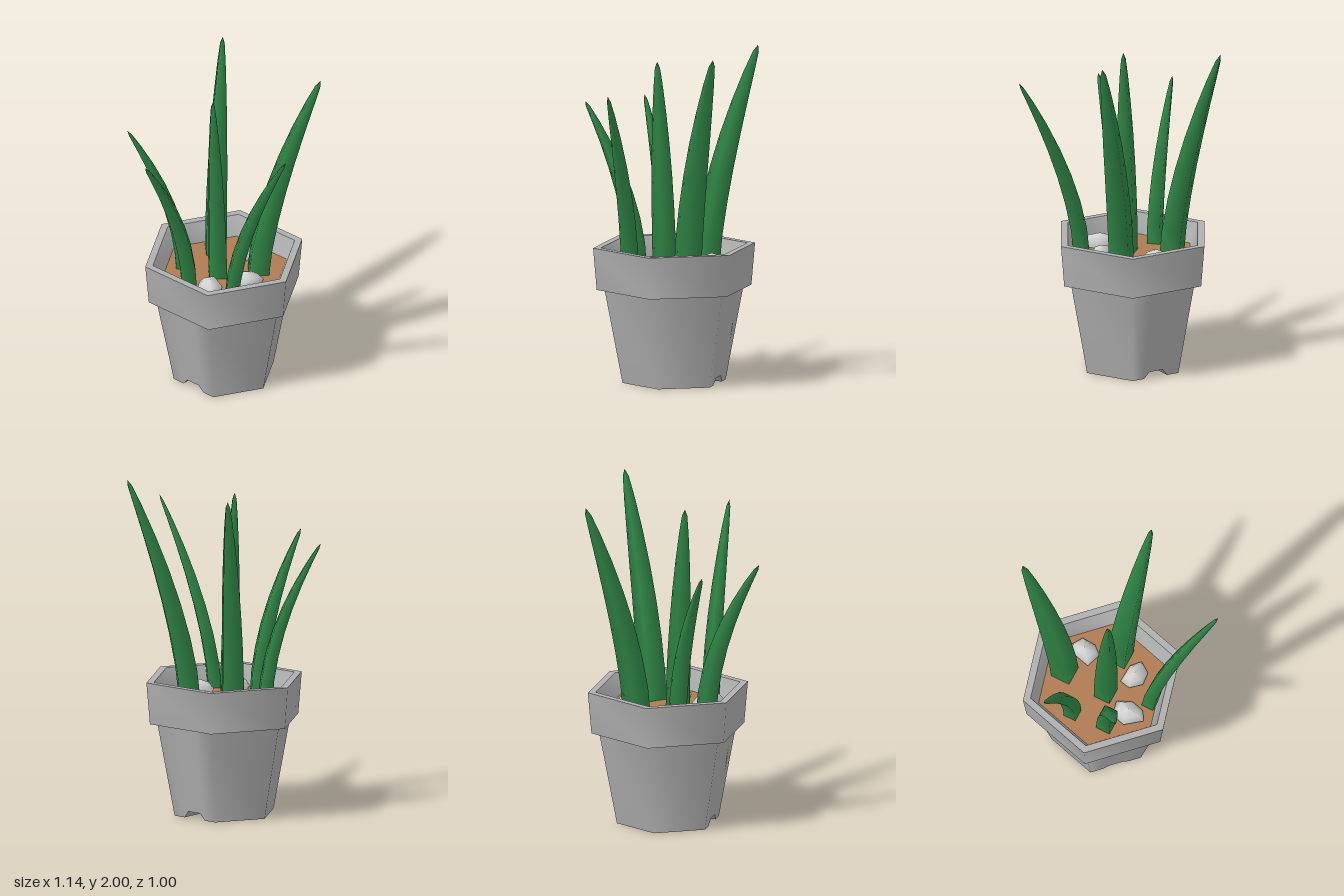
import * as THREE from 'three';
import { toCreasedNormals } from 'three/addons/utils/BufferGeometryUtils.js';

const material = (name, color) => new THREE.MeshStandardMaterial({ name, color });

// Skin between rows of [x, y, z] points; rows run bottom to top, counterclockwise seen from above
function loft(rows, closed = true) {
  const n = rows[0].length;
  const index = [];
  for (let r = 0; r < rows.length - 1; r++) {
    for (let i = 0; i < (closed ? n : n - 1); i++) {
      const a = r * n + i, b = r * n + (i + 1) % n;
      index.push(a, b, a + n, b, b + n, a + n);
    }
  }
  const g = new THREE.BufferGeometry();
  g.setAttribute('position', new THREE.Float32BufferAttribute(rows.flat(2), 3));
  g.setIndex(index);
  g.computeVertexNormals();
  return g;
}

// Upright leaf with a diamond section that curves outward from base to tip
function leafGeometry({ base, tip, size, bend }) {
  const y0 = 0.66;
  const sections = [[0, 1], [0.15, 1], [0.3, 0.96], [0.45, 0.88], [0.6, 0.76],
    [0.75, 0.59], [0.88, 0.4], [0.97, 0.22], [1, 0]];
  return loft(sections.map(([t, w]) => {
    const k = Math.pow(t, bend);
    const x = base[0] + (tip[0] - base[0]) * k;
    const z = base[1] + (tip[2] - base[1]) * k;
    const y = y0 + (tip[1] - y0) * t;
    const s = size * w;
    return [[x, y, z + s], [x + s, y, z], [x, y, z - s], [x - s, y, z]];
  }));
}

// Pebble: an outline that swells, then closes to a low top
function stoneGeometry(outline) {
  const cx = outline.reduce((s, p) => s + p[0], 0) / outline.length;
  const cz = outline.reduce((s, p) => s + p[1], 0) / outline.length;
  const rows = [[0.67, 0.8], [0.71, 1], [0.75, 0.66], [0.77, 0]];
  return loft(rows.map(([y, s]) => outline.map(([x, z]) => [cx + (x - cx) * s, y, cz + (z - cz) * s])));
}

export function createModel() {
  const model = new THREE.Group();
  const grey = material('pot grey', 0xb0b0b0);
  const brown = material('soil brown', 0xb07c53);
  const green = material('leaf green', 0x2f8445);
  const pale = material('stone pale grey', 0xd0d0d0);

  const add = (parent, name, geometry, mat) => {
    const mesh = new THREE.Mesh(geometry, mat);
    mesh.name = name;
    parent.add(mesh);
    return mesh;
  };

  // Hexagonal pot
  const pot = new THREE.Group();
  pot.name = 'pot';
  pot.position.set(-0.0875, 0, -0.083);
  model.add(pot);

  // Tapered wall, with a drainage channel cut through the foot from front to back
  const radius = y => 0.31 + 0.108 * y / 0.56;
  const edge = (y, notchY, side) => {
    const R = radius(y), h = 0.866 * side;
    return [[-R, y, 0], [-R / 2, y, R * h], [-0.078, y, R * h],
      [-0.045, notchY, radius(notchY) * h], [0.045, notchY, radius(notchY) * h],
      [0.078, y, R * h], [R / 2, y, R * h], [R, y, 0]];
  };
  const ring = (y, notchY) => [...edge(y, notchY, 1), ...edge(y, notchY, -1).slice(1, -1).reverse()];
  add(pot, 'potWall', loft([ring(0, 0.04), ring(0.56, 0.56)]), grey);
  const foot = loft([edge(0, 0.04, -1), edge(0, 0.04, 1)], false);
  add(pot, 'potBase', toCreasedNormals(foot, 0.3), grey);

  // Collar with sloping inner wall
  const collar = [[0.41, 0.56], [0.465, 0.56], [0.487, 0.81], [0.44, 0.81], [0.39, 0.69]]
    .map(p => new THREE.Vector2(...p));
  add(pot, 'potRim', toCreasedNormals(new THREE.LatheGeometry(collar, 6, Math.PI / 2), 1.1), grey);

  // Soil
  const soil = add(pot, 'soil', new THREE.CircleGeometry(0.392, 6), brown);
  soil.rotation.x = -Math.PI / 2;
  soil.position.y = 0.69;

  // Leaves
  [
    { name: 'centreLeaf', base: [-0.083, -0.025], tip: [-0.083, 1.9, 0.02], size: 0.073, bend: 1.3 },
    { name: 'backRightLeaf', base: [-0.271, -0.22], tip: [-0.45, 1.97, -0.485], size: 0.084, bend: 1.5 },
    { name: 'backLeftLeaf', base: [0.064, -0.215], tip: [0.338, 2, -0.462], size: 0.084, bend: 1.5 },
    { name: 'leftLeaf', base: [0.145, 0.113], tip: [0.57, 1.79, 0.113], size: 0.054, bend: 1.6 },
    { name: 'frontLeaf', base: [-0.14, 0.165], tip: [-0.19, 1.625, 0.5], size: 0.062, bend: 1.8 },
    { name: 'rightLeaf', base: [-0.305, 0.035], tip: [-0.55, 1.62, 0.25], size: 0.054, bend: 1.8 },
  ].forEach(leaf => add(model, leaf.name, leafGeometry(leaf), green));

  // Stones on the soil
  [
    [[-0.195, -0.31], [-0.135, -0.21], [-0.05, -0.25], [-0.053, -0.32], [-0.11, -0.385], [-0.197, -0.365]],
    [[0.02, -0.06], [0.055, -0.005], [0.14, 0], [0.19, -0.06], [0.175, -0.14], [0.1, -0.135]],
    [[-0.09, 0.13], [-0.045, 0.205], [0.075, 0.22], [0.09, 0.155], [0.05, 0.085], [-0.04, 0.05]],
  ].forEach((outline, i) => add(model, 'stone' + (i + 1), stoneGeometry(outline), pale));

  return model;
}
